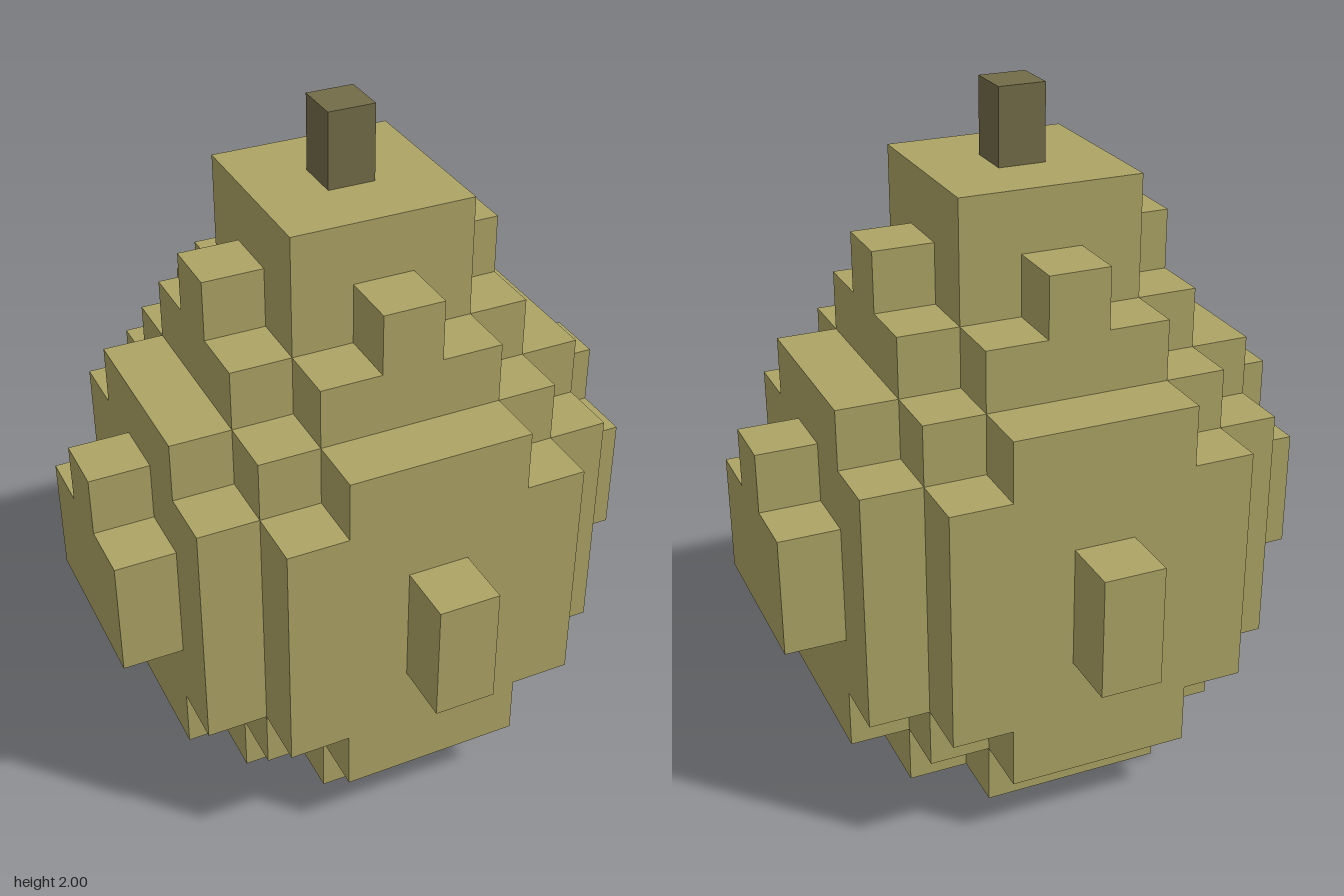
import * as THREE from 'three';

const U = 0.1778; // edge of one block

// Stepped outline with four-fold symmetry, from the outer corners of one quadrant
function steppedShape(corners) {
  const quadrant = [];
  corners.forEach(([x, z], i) => {
    if (i > 0) quadrant.push([x, corners[i - 1][1]]);
    quadrant.push([x, z]);
  });
  const points = [];
  for (let q = 0; q < 4; q++) {
    for (const [x, z] of quadrant) {
      const p = [[x, z], [-z, x], [-x, -z], [z, -x]][q];
      points.push(new THREE.Vector2(p[0] * U, p[1] * U));
    }
  }
  return new THREE.Shape(points);
}

export function createModel() {
  const group = new THREE.Group();
  const skin = new THREE.MeshStandardMaterial({ name: 'olive skin', color: 0xada465 });
  const bark = new THREE.MeshStandardMaterial({ name: 'brown stem', color: 0x736c49 });

  const add = (name, geometry, material, x, y, z) => {
    const mesh = new THREE.Mesh(geometry, material);
    mesh.name = name;
    mesh.position.set(x, y, z);
    group.add(mesh);
  };

  // Fruit body: stacked tiers [name, first layer, layers, quadrant corners in blocks]
  const narrow = [[2.5, 1.5], [1.5, 2.5]];
  const round = [[3.5, 1.5], [2.5, 2.5], [1.5, 3.5]];
  const wide = [[3.5, 2.5], [2.5, 3.5]];
  const tiers = [
    ['base', 0, 1, narrow],
    ['lowerBelly', 1, 1, round],
    ['belly', 2, 4, wide],
    ['upperBelly', 6, 1, round],
    ['shoulder', 7, 1, narrow],
    ['neck', 8, 1, [[2.5, 0.5], [1.5, 1.5], [0.5, 2.5]]],
    ['crown', 9, 1, [[1.5, 1.5]]],
  ];
  for (const [name, start, layers, corners] of tiers) {
    const geometry = new THREE.ExtrudeGeometry(steppedShape(corners), { depth: layers * U, bevelEnabled: false });
    geometry.rotateX(-Math.PI / 2);
    add(name, geometry, skin, 0, start * U, 0);
  }

  // Bulges on the four sides of the belly
  for (const s of [1, -1]) {
    const end = s > 0 ? 'front' : 'back';
    const side = s > 0 ? 'left' : 'right';
    add(end + 'Bulge', new THREE.BoxGeometry(U, 2 * U, U), skin, 0, 4 * U, s * 4 * U);
    add(side + 'Bulge', new THREE.BoxGeometry(U, 2 * U, 3 * U), skin, s * 4 * U, 4 * U, 0);
    add(side + 'BulgeTop', new THREE.BoxGeometry(U, U, U), skin, s * 4 * U, 5.5 * U, 0);
  }

  // Stem
  const stemHeight = 2 - 10 * U;
  add('stem', new THREE.BoxGeometry(0.138, stemHeight, 0.138), bark, 0, 10 * U + stemHeight / 2, 0);

  return group;
}
